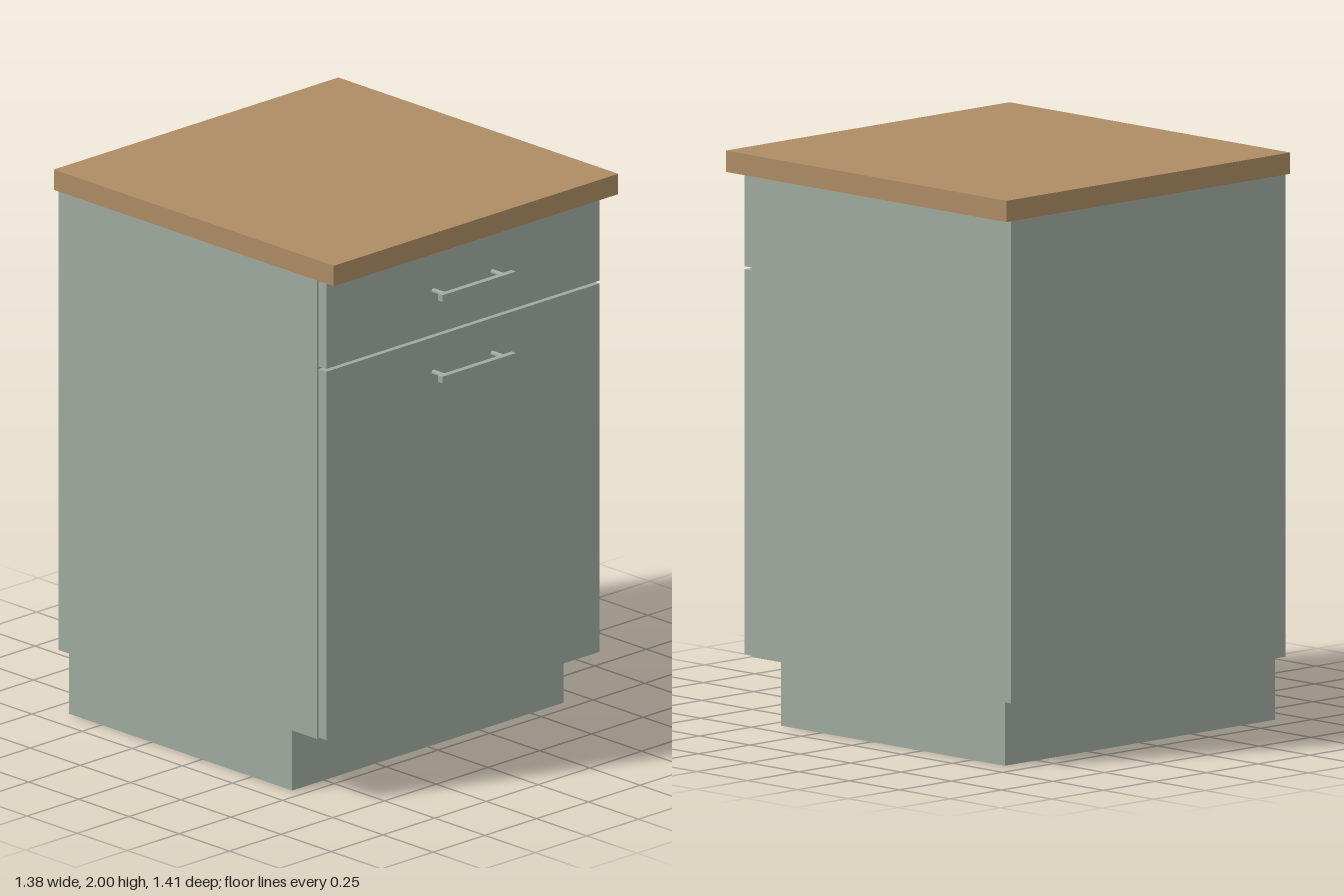
import * as THREE from 'three';

export function createModel() {
  const group = new THREE.Group();
  group.name = 'baseCabinet';

  const sage = new THREE.MeshStandardMaterial({ color: 0xa0aba0 });
  sage.name = 'sage green';
  const wood = new THREE.MeshStandardMaterial({ color: 0xad8c64 });
  wood.name = 'oak wood';

  const add = (name, geometry, material, parent = group) => {
    const mesh = new THREE.Mesh(geometry, material);
    mesh.name = name;
    parent.add(mesh);
    return mesh;
  };
  // Box given by its half width and its y and z ranges
  const box = (name, halfX, y0, y1, z0, z1, material, parent) =>
    add(name, new THREE.BoxGeometry(halfX * 2, y1 - y0, z1 - z0), material, parent)
      .position.set(0, (y0 + y1) / 2, (z0 + z1) / 2);

  // Plinth, carcass and worktop
  box('plinth', 0.655, 0, 0.226, -0.663, 0.45, sage);
  box('carcass', 0.665, 0.226, 1.925, -0.705, 0.585, sage);
  box('worktop', 0.6875, 1.925, 2, -0.705, 0.69, wood);

  // Front panels, with narrow gaps around them
  box('doorFront', 0.66, 0.231, 1.587, 0.585, 0.625, sage);
  box('drawerFront', 0.66, 1.597, 1.918, 0.585, 0.625, sage);

  // Bar handles on two round posts
  for (const [name, y] of [['doorHandle', 1.458], ['drawerHandle', 1.758]]) {
    const handle = new THREE.Group();
    handle.name = name;
    box('handleBar', 0.178, y - 0.012, y + 0.012, 0.684, 0.706, sage, handle);
    for (const side of [-1, 1]) {
      const post = add('handlePost', new THREE.CylinderGeometry(0.009, 0.009, 0.063, 16), sage, handle);
      post.rotation.x = Math.PI / 2;
      post.position.set(side * 0.142, y, 0.6545);
    }
    group.add(handle);
  }

  return group;
}
